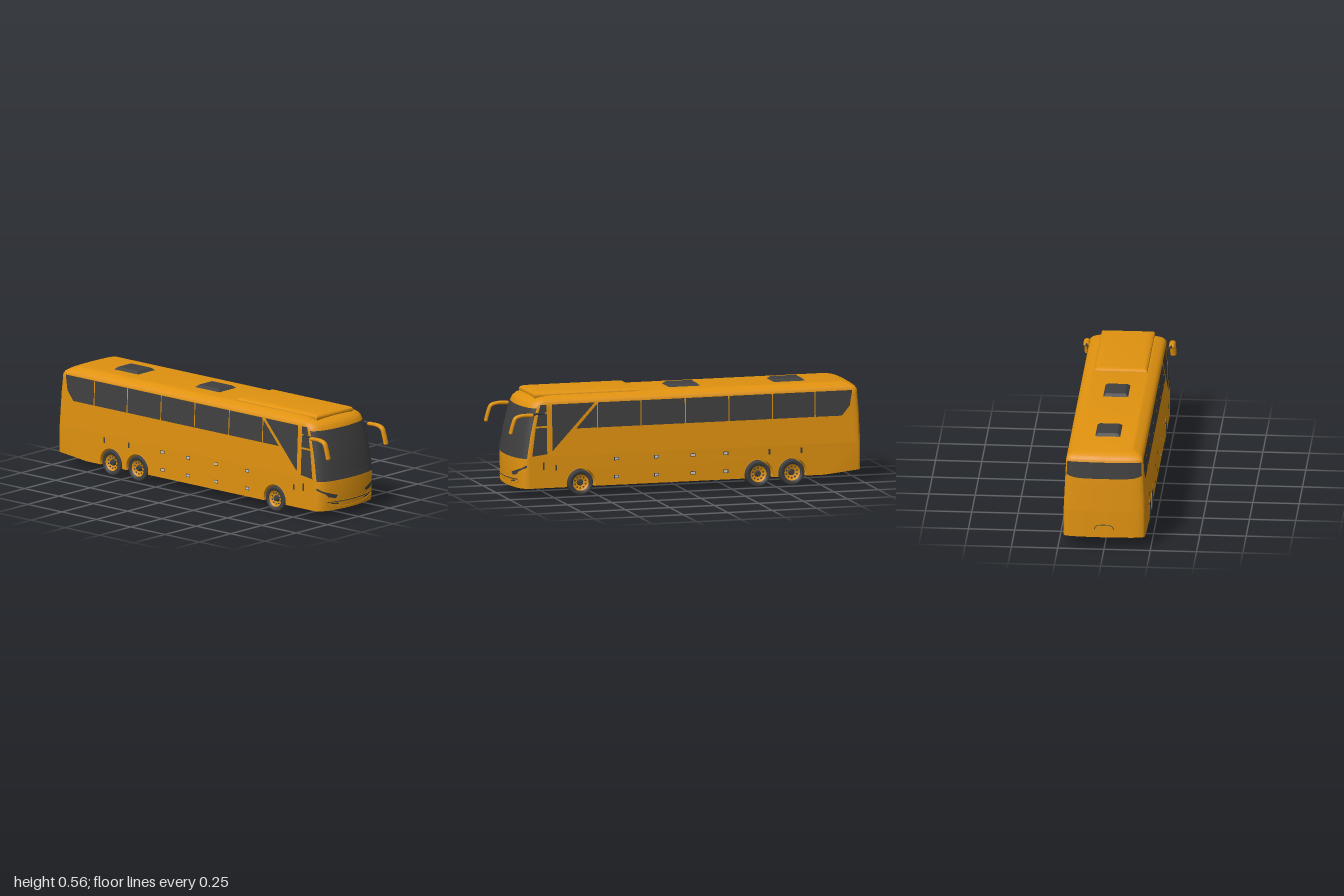
import * as THREE from 'three';
import { toCreasedNormals } from 'three/addons/utils/BufferGeometryUtils.js';

const paint = new THREE.MeshStandardMaterial({ color: 0xe0920f, side: THREE.DoubleSide });
const dark = new THREE.MeshStandardMaterial({ color: 0x404040, side: THREE.DoubleSide });
const metal = new THREE.MeshStandardMaterial({ color: 0xcccccc, side: THREE.DoubleSide });

// Linear interpolation in a list of [key, value] pairs
const table = (t) => (k) => {
  let i = 1;
  while (i < t.length - 1 && k > t[i][0]) i++;
  const [a, va] = t[i - 1], [b, vb] = t[i];
  return va + (vb - va) * THREE.MathUtils.clamp((k - a) / (b - a), 0, 1);
};

// Hull: half width, front and rear position by height; bow of the ends by u = x / half width
const halfWidth = table([[0.22, 0.22], [0.505, 0.207], [0.52, 0.2], [0.533, 0.18], [0.543, 0.15]]);
const frontZ = table([[0.05, 0.95], [0.2, 0.955], [0.22, 0.952], [0.35, 0.93], [0.48, 0.898], [0.505, 0.885], [0.52, 0.87], [0.533, 0.84], [0.543, 0.8]]);
const rearZ = table([[0.22, -1], [0.4, -0.993], [0.505, -0.985], [0.52, -0.975], [0.533, -0.955], [0.543, -0.92]]);
const frontBow = (u) => 0.035 * u * u + 0.04 * (1 - Math.sqrt(Math.max(0, 1 - u ** 8)));
const rearBow = (u) => 0.01 * u * u + 0.02 * (1 - Math.sqrt(Math.max(0, 1 - u ** 10)));
const N = 28;
const spread = (t) => Math.sin((t - 0.5) * Math.PI);

// Point on the front or rear surface, lifted off by a small amount
function endPoint(u, y, rear = false, lift = 0) {
  const x = halfWidth(y) * u + lift * u;
  const z = rear ? rearZ(y) + rearBow(u) - lift : frontZ(y) - frontBow(u) + lift;
  return new THREE.Vector3(x, y, z);
}

function gridGeometry(points, faces) {
  const g = new THREE.BufferGeometry().setFromPoints(points);
  g.setIndex(faces);
  return g;
}

// Hull above the skirt: stacked outlines, closed by the roof
function upperHull() {
  const pts = [], idx = [], M = N + 3;
  const levels = [0.22, 0.3, 0.35, 0.4, 0.48, 0.505, 0.512, 0.52, 0.527, 0.533, 0.543];
  for (const y of levels) {
    for (const rear of [false, true]) {
      const row = [];
      for (let i = 0; i <= N; i++) row.push(endPoint(spread(i / N), y, rear));
      const first = row[0].clone(), last = row[N].clone(), s = rear ? 0.02 : -0.02;
      first.z += s; last.z += s;
      row.unshift(first); row.push(last);
      if (rear) row.reverse();
      pts.push(...row);
    }
  }
  const R = 2 * M;
  for (let l = 0; l < levels.length - 1; l++)
    for (let i = 0; i < R; i++) {
      const a = l * R + i, b = l * R + (i + 1) % R;
      idx.push(a, b, b + R, a, b + R, a + R);
    }
  const top = (levels.length - 1) * R;
  for (let i = 0; i < M - 1; i++) {
    const a = top + i, c = top + R - 1 - i;
    idx.push(a, a + 1, c - 1, a, c - 1, c);
  }
  return toCreasedNormals(gridGeometry(pts, idx), 0.6);
}

// Skirt: side outline with wheel arches, extruded across and bowed at the ends
const AXLES = [-0.6, -0.41, 0.59];
function skirt() {
  const s = new THREE.Shape(), r = 0.08, a = Math.asin(0.02 / r);
  s.moveTo(-1, 0.07);
  s.lineTo(-0.78, 0.05);
  for (const z of AXLES) s.absarc(z, 0.07, r, Math.PI + a, -a, true);
  s.lineTo(0.95, 0.05);
  s.lineTo(0.955, 0.2);
  s.lineTo(0.952, 0.22);
  s.lineTo(-1, 0.22);
  const g = new THREE.ExtrudeGeometry(s, { depth: 1, steps: N, bevelEnabled: false, curveSegments: 20 });
  g.rotateY(-Math.PI / 2);
  const p = g.attributes.position;
  for (let i = 0; i < p.count; i++) {
    const u = spread(-p.getX(i)) , z = p.getZ(i);
    p.setX(i, -0.22 * u);
    if (z > 0.9) p.setZ(i, z - frontBow(u));
    if (z < -0.9) p.setZ(i, z + rearBow(u));
  }
  return toCreasedNormals(g, 0.6);
}

// Patch lying on the front or rear, between two height curves of u
function endPatch(u0, u1, low, high, rear = false, lift = 0.003) {
  const n = 32, m = 6, pts = [], idx = [];
  const t0 = Math.asin(u0), t1 = Math.asin(u1);
  for (let i = 0; i <= n; i++) {
    const u = Math.sin(t0 + (t1 - t0) * i / n);
    for (let j = 0; j <= m; j++) pts.push(endPoint(u, low(u) + (high(u) - low(u)) * j / m, rear, lift));
  }
  for (let i = 0; i < n; i++)
    for (let j = 0; j < m; j++) {
      const a = i * (m + 1) + j, b = a + m + 1;
      if (rear) idx.push(a, b + 1, b, a, a + 1, b + 1);
      else idx.push(a, b, b + 1, a, b + 1, a + 1);
    }
  const g = gridGeometry(pts, idx);
  g.computeVertexNormals();
  return g;
}

// Flat panel on a side wall, corners given as [z, y]
function sidePanel(corners, side, lift) {
  const g = new THREE.ShapeGeometry(new THREE.Shape(corners.map(([z, y]) => new THREE.Vector2(-side * z, y))));
  const p = g.attributes.position;
  for (let i = 0; i < p.count; i++) p.setXYZ(i, side * (halfWidth(p.getY(i)) + lift), p.getY(i), -side * p.getX(i));
  g.computeVertexNormals();
  return g;
}
const rect = (z0, z1, y0, y1) => [[z0, y0], [z1, y0], [z1, y1], [z0, y1]];

// Raised roof panel with sloping rounded edges
function roofPanel(width, length, height, slope, segments) {
  const w = width / 2 - slope, l = length / 2 - slope;
  const s = new THREE.Shape([[-w, -l], [w, -l], [w, l], [-w, l]].map(([x, y]) => new THREE.Vector2(x, y)));
  const g = new THREE.ExtrudeGeometry(s, { depth: 0.002, bevelSize: slope, bevelThickness: height, bevelSegments: segments });
  g.rotateX(-Math.PI / 2);
  return toCreasedNormals(g, 0.5);
}

export function createModel() {
  const model = new THREE.Group();
  const add = (name, geometry, material, parent = model) => {
    const mesh = new THREE.Mesh(geometry, material);
    mesh.name = name;
    parent.add(mesh);
    return mesh;
  };
  const tube = (points, r, closed = false) =>
    new THREE.TubeGeometry(new THREE.CatmullRomCurve3(points, closed, 'centripetal'), 48, r, 8, closed);

  // Body
  add('upperBody', upperHull(), paint);
  add('skirt', skirt(), paint);
  add('floor', new THREE.BoxGeometry(0.31, 0.16, 1.6), paint).position.set(0, 0.131, 0);

  // Roof panels
  add('roofUnit', roofPanel(0.29, 0.59, 0.022, 0.04, 4), paint).position.set(0, 0.539, 0.535);
  for (const z of [-0.04, -0.63])
    add('roofHatch', roofPanel(0.135, 0.175, 0.014, 0.016, 1), dark).position.set(0, 0.541, z);

  // Front and rear glass
  add('windshield', endPatch(-0.988, 0.988, () => 0.214, () => 0.485), dark);
  add('rearWindow', endPatch(-0.95, 0.95, (u) => 0.405 + 0.025 * u ** 6, () => 0.497, true), dark);
  add('rearHandle', endPatch(-0.24, 0.24, () => 0.115, table([[-0.24, 0.116], [-0.18, 0.135], [0.18, 0.135], [0.24, 0.116]]), true), paint);
  add('rearHandleEdge', tube([-0.24, -0.18, 0.18, 0.24].map((u) => endPoint(u, Math.abs(u) > 0.2 ? 0.115 : 0.136, true, 0.002)), 0.002), dark);

  // Lamps, mirrored
  const lampLow = table([[0.48, 0.129], [0.55, 0.116], [0.75, 0.126], [0.8, 0.14], [0.99, 0.165]]);
  const lampHigh = table([[0.48, 0.131], [0.7, 0.146], [0.9, 0.162], [0.99, 0.178]]);
  const fogLow = table([[0.43, 0.078], [0.64, 0.085], [0.68, 0.09]]);
  const fogHigh = table([[0.43, 0.079], [0.48, 0.088], [0.68, 0.092]]);
  for (const s of [1, -1]) {
    const at = (a, b) => (s > 0 ? [a, b] : [-b, -a]);
    add('headlight', endPatch(...at(0.48, 0.99), (u) => lampLow(s * u), (u) => lampHigh(s * u)), dark);
    add('fogLamp', endPatch(...at(0.43, 0.68), (u) => fogLow(s * u), (u) => fogHigh(s * u)), dark);
  }

  // Grille outline, grille slot and wipers
  const us = [-0.8, -0.6, -0.3, 0, 0.3, 0.6, 0.8];
  const loop = [...us.map((u) => endPoint(u, 0.095 + 0.008 * u * u, false, 0.001)),
    ...us.slice().reverse().map((u) => endPoint(u, 0.062 + 0.04 * u * u, false, 0.001))];
  add('grilleOutline', tube(loop, 0.002, true), paint);
  add('grilleSlot', endPatch(-0.78, 0.78, (u) => 0.091 + 0.008 * u * u, (u) => 0.096 + 0.008 * u * u), dark);
  for (const [u0, u1, y] of [[-0.7, 0.02, 0.224], [-0.15, 0.6, 0.235]])
    add('wiper', tube([0, 0.33, 0.67, 1].map((t) => endPoint(u0 + (u1 - u0) * t, y + 0.008 * t * (1 - t), false, 0.006)), 0.002), dark);

  // Side glass: cab windows, slanted window and the passenger row
  const cuts = [0.495, 0.25, 0, -0.245, -0.49, -0.73];
  const glass = [
    [[0.865, 0.225], [0.78, 0.235], [0.78, 0.378], [0.843, 0.378]],
    [[0.841, 0.388], [0.78, 0.388], [0.78, 0.452], [0.828, 0.452]],
    [[0.826, 0.461], [0.78, 0.461], [0.78, 0.503], [0.815, 0.503]],
    [[0.75, 0.25], [0.51, 0.503], [0.75, 0.503]],
    [[0.615, 0.367], [0.498, 0.367], [0.498, 0.492]],
    [[-0.733, 0.367], [-0.88, 0.367], [-0.925, 0.42], [-0.94, 0.503], [-0.733, 0.503]],
  ];
  for (let i = 0; i < cuts.length - 1; i++) glass.push(rect(cuts[i] - 0.003, cuts[i + 1] + 0.003, 0.367, 0.503));

  for (const s of [1, -1]) {
    for (const g of glass) add('sideWindow', sidePanel(g, s, 0.002), dark);
    // Locker catches, door handles and vents
    for (const z of [0.39, 0.165, -0.04, -0.225])
      for (const y of [0.095, 0.193]) {
        add('catchPlate', sidePanel(rect(z - 0.014, z + 0.014, y - 0.009, y + 0.009), s, 0.001), dark);
        add('catch', sidePanel(rect(z - 0.01, z + 0.01, y - 0.006, y + 0.006), s, 0.002), metal);
      }
    for (const [z, y, h] of [[0.8, 0.17, 0.04], [0.73, 0.16, 0.03], [-0.47, 0.19, 0.03], [-0.65, 0.19, 0.03]])
      add('sideVent', sidePanel(rect(z - 0.005, z + 0.005, y - h / 2, y + h / 2), s, 0.002), dark);

    // Door mirror on its arm
    const mirror = new THREE.Group();
    mirror.name = 'doorMirror';
    model.add(mirror);
    const V = (x, y, z) => new THREE.Vector3(s * x, y, z);
    add('mirrorArm', tube([V(0.205, 0.455, 0.79), V(0.225, 0.458, 0.84), V(0.231, 0.45, 0.9)], 0.006), dark, mirror);
    const path = [V(0, 0.452, 0.87), V(0, 0.452, 0.93), V(0, 0.44, 0.962), V(0, 0.405, 0.977), V(0, 0.362, 0.989)];
    const head = add('mirrorHead', tube(path, 0.01), paint, mirror);
    head.position.x = s * 0.231;
    head.scale.x = 1.65;
    for (const e of [path[0], path[4]]) {
      const cap = add('mirrorTip', new THREE.SphereGeometry(0.01, 16, 10), paint, mirror);
      cap.position.set(s * 0.231, e.y, e.z);
      cap.scale.x = 1.65;
    }
  }

  // Wheels: the middle axle carries twin tyres
  const tyre = new THREE.LatheGeometry([[0.045, -0.026], [0.064, -0.027], [0.069, -0.022], [0.07, -0.012], [0.07, 0.012],
    [0.069, 0.022], [0.064, 0.027], [0.046, 0.026], [0.043, 0.012]].map(([x, y]) => new THREE.Vector2(x, y)), 36);
  const rim = new THREE.LatheGeometry([[0, 0.008], [0.02, 0.008], [0.024, 0.014], [0.037, 0.014], [0.041, 0.02], [0.045, 0.022]]
    .map(([x, y]) => new THREE.Vector2(x, y)), 36);
  const hub = new THREE.CylinderGeometry(0.014, 0.019, 0.016, 20);
  const hole = new THREE.CylinderGeometry(0.0045, 0.0045, 0.004, 10);
  for (const z of AXLES)
    for (const s of [1, -1]) {
      const wheel = new THREE.Group();
      wheel.name = 'wheel';
      wheel.position.set(s * 0.193, 0.071, z);
      wheel.rotation.z = -s * Math.PI / 2;
      model.add(wheel);
      add('tyre', tyre, dark, wheel);
      add('rim', rim, paint, wheel);
      add('hub', hub, dark, wheel).position.y = 0.014;
      for (let i = 0; i < 10; i++) {
        const a = i * Math.PI / 5;
        add('rimHole', hole, dark, wheel).position.set(0.031 * Math.cos(a), 0.0135, 0.031 * Math.sin(a));
      }
      if (z === -0.41) add('innerTyre', tyre, dark, wheel).position.y = -0.06;
      // Arch lip
      const lip = add('archLip', new THREE.TorusGeometry(0.081, 0.002, 6, 32, Math.PI + 0.4), paint);
      lip.rotation.set(0, -Math.PI / 2, 0);
      lip.geometry.rotateZ(-0.2);
      lip.position.set(s * 0.22, 0.07, z);
    }
  return model;
}
